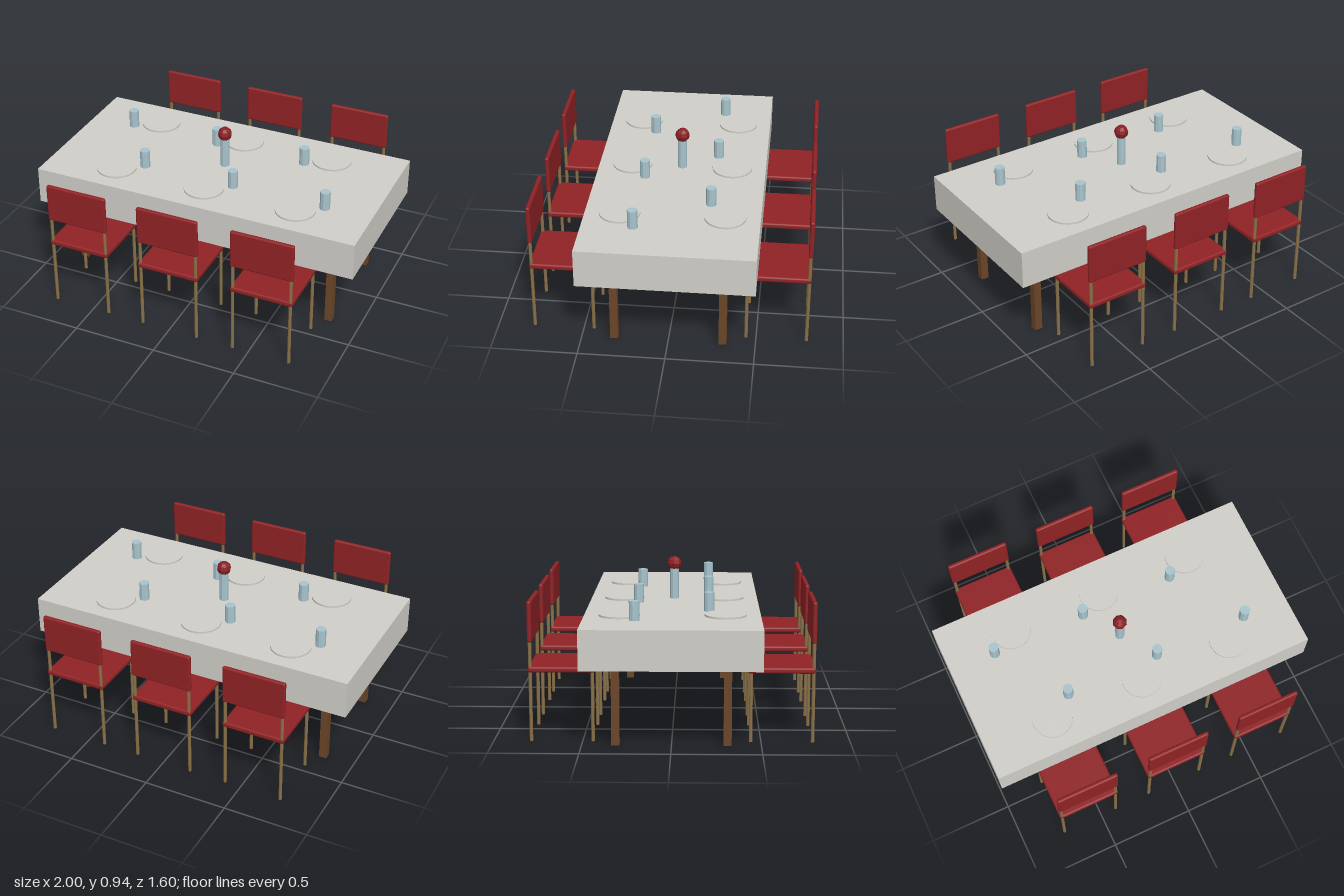
import * as THREE from 'three';
import { RoundedBoxGeometry } from 'three/addons/geometries/RoundedBoxGeometry.js';

const material = (name, color) => {
  const m = new THREE.MeshStandardMaterial({ color });
  m.name = name;
  return m;
};

export function createModel() {
  const cloth = material('cloth', 0xd0cec8);
  const wood = material('wood', 0x6b4528);
  const red = material('red', 0x8f2225);
  const brass = material('brass', 0x8a7148);
  const glass = material('glass', 0xa8c4cd);
  glass.flatShading = true;
  const bloom = material('bloom', 0x8b1f24);
  bloom.flatShading = true;

  const model = new THREE.Group();
  model.name = 'diningSet';

  const add = (parent, name, geometry, mat, x, y, z) => {
    const mesh = new THREE.Mesh(geometry, mat);
    mesh.name = name;
    mesh.position.set(x, y, z);
    parent.add(mesh);
    return mesh;
  };
  const box = (w, h, d) => new THREE.BoxGeometry(w, h, d);

  // Table: board, legs and a cloth that hangs open underneath
  const table = new THREE.Group();
  table.name = 'table';
  model.add(table);
  add(table, 'tableTop', box(1.68, 0.05, 0.68), wood, 0, 0.655, 0);
  for (const x of [-1, 1]) {
    for (const z of [-1, 1]) {
      add(table, 'tableLeg', box(0.045, 0.64, 0.045), wood, x * 0.812, 0.32, z * 0.312);
    }
  }
  add(table, 'clothTop', box(2, 0.005, 1), cloth, 0, 0.6835, 0);
  for (const s of [-1, 1]) {
    add(table, 'clothSide', box(2, 0.221, 0.005), cloth, 0, 0.5705, s * 0.4975);
    add(table, 'clothEnd', box(0.005, 0.221, 0.99), cloth, s * 0.9975, 0.5705, 0);
  }

  // Chair with its backrest towards +z, seated under the table edge
  const seatGeo = new RoundedBoxGeometry(0.376, 0.034, 0.376, 3, 0.012);
  const backGeo = new RoundedBoxGeometry(0.376, 0.232, 0.026, 3, 0.011);
  const frontLegGeo = new THREE.CylinderGeometry(0.01, 0.01, 0.4, 8);
  const backLegGeo = new THREE.CylinderGeometry(0.01, 0.01, 0.6, 8);
  const makeChair = () => {
    const chair = new THREE.Group();
    chair.name = 'chair';
    add(chair, 'seat', seatGeo, red, 0, 0.411, 0.614);
    add(chair, 'backrest', backGeo, red, 0, 0.681, 0.789);
    for (const s of [-1, 1]) {
      add(chair, 'frontLeg', frontLegGeo, brass, s * 0.173, 0.2, 0.442);
      add(chair, 'backLeg', backLegGeo, brass, s * 0.173, 0.3, 0.789);
    }
    return chair;
  };

  // Each place has a chair, a plate and a glass; the far side is turned half round
  const plateGeo = new THREE.CylinderGeometry(0.118, 0.118, 0.012, 32);
  const glassGeo = new THREE.CylinderGeometry(0.03, 0.03, 0.11, 10);
  for (const turn of [0, Math.PI]) {
    const side = new THREE.Group();
    side.name = turn ? 'backPlaces' : 'frontPlaces';
    side.rotation.y = turn;
    model.add(side);
    for (const x of [-0.573, 0, 0.573]) {
      const chair = makeChair();
      chair.position.x = x;
      side.add(chair);
      add(side, 'plate', plateGeo, cloth, x, 0.691, 0.3);
      add(side, 'glass', glassGeo, glass, x + 0.144, 0.741, 0.208);
    }
  }

  // Vase and flower in the middle
  add(model, 'vase', new THREE.CylinderGeometry(0.027, 0.027, 0.19, 10), glass, 0, 0.781, 0);
  add(model, 'flower', new THREE.SphereGeometry(0.043, 8, 6), bloom, 0, 0.899, 0);

  return model;
}
